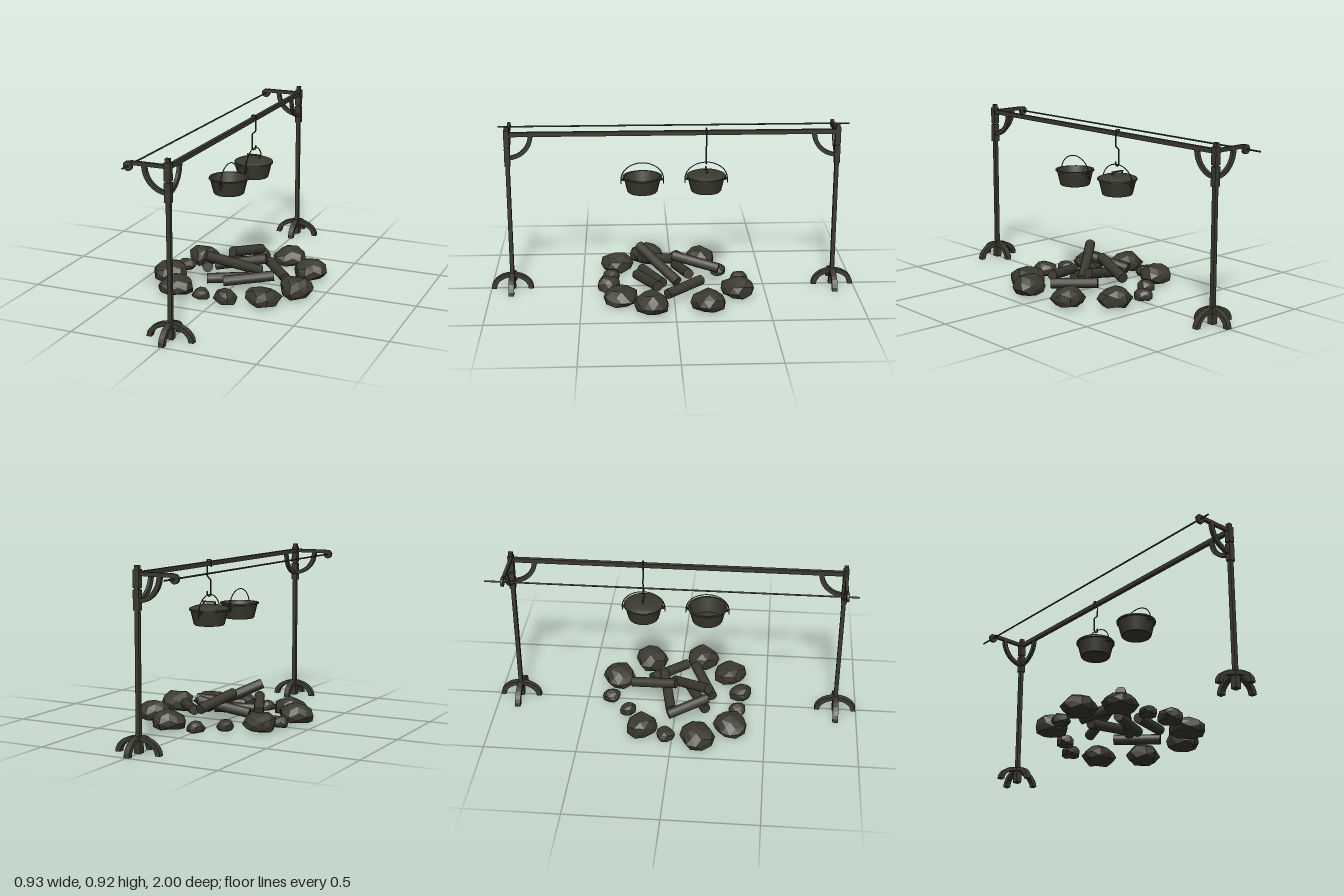
import * as THREE from 'three';

const iron = new THREE.MeshStandardMaterial({ color: 0x3b3a30 });
iron.name = 'dark iron';

const V = (x, y, z) => new THREE.Vector3(x, y, z);

function add(parent, name, geometry, x = 0, y = 0, z = 0) {
  const mesh = new THREE.Mesh(geometry, iron);
  mesh.name = name;
  mesh.position.set(x, y, z);
  parent.add(mesh);
  return mesh;
}

const box = (w, h, d) => new THREE.BoxGeometry(w, h, d);

// Flat curved bar: elliptical ring sector extruded around z = 0
function arcBar(rx, ry, thick, a0, a1, depth) {
  const shape = new THREE.Shape();
  shape.absellipse(0, 0, rx, ry, a0, a1, false, 0);
  shape.absellipse(0, 0, rx - thick, ry - thick * 0.85, a1, a0, true, 0);
  const geo = new THREE.ExtrudeGeometry(shape, { depth, bevelEnabled: false, curveSegments: 7 });
  return geo.translate(0, 0, -depth / 2);
}

// Straight round bar between two points
function rod(parent, name, a, b, r, sides = 12) {
  const mesh = add(parent, name, new THREE.CylinderGeometry(r, r, a.distanceTo(b), sides));
  mesh.position.copy(a).lerp(b, 0.5);
  mesh.quaternion.setFromUnitVectors(V(0, 1, 0), b.clone().sub(a).normalize());
  return mesh;
}

function tube(parent, name, points, r) {
  const path = new THREE.CurvePath();
  for (let i = 1; i < points.length; i++) path.add(new THREE.LineCurve3(points[i - 1], points[i]));
  return add(parent, name, new THREE.TubeGeometry(path, points.length * 6, r, 6));
}

// Post with four curved feet, spit bracket and braces
function makeStand(s) {
  const stand = new THREE.Group();
  stand.name = s > 0 ? 'frontStand' : 'backStand';
  stand.position.z = s * 0.885;
  add(stand, 'post', box(0.022, 0.92, 0.022), 0, 0.46, 0);
  add(stand, 'footHub', box(0.034, 0.088, 0.034), 0, 0.045, 0);
  for (const turn of [0, Math.PI / 2]) {
    const feet = arcBar(turn ? 0.115 : 0.128, 0.09, 0.027, 0, Math.PI, 0.03);
    add(stand, 'feet', feet).rotation.y = turn;
  }
  add(stand, 'spitArm', box(0.2, 0.02, 0.016), -0.1, 0.879, 0);
  for (const turn of [0, -s * Math.PI / 2]) {
    const brace = arcBar(0.138, 0.135, 0.025, Math.PI, Math.PI * 1.5, 0.018);
    add(stand, 'brace', brace, 0, 0.872, 0).rotation.y = turn;
  }
  add(stand, 'upperCollar', box(0.034, 0.09, 0.03), 0, 0.855, 0);
  add(stand, 'lowerCollar', box(0.034, 0.1, 0.03), 0, 0.752, 0);
  const hub = add(stand, 'spitRing', new THREE.CylinderGeometry(0.025, 0.025, 0.014, 14), -0.211, 0.863, s * 0.004);
  hub.rotation.x = Math.PI / 2;
  return stand;
}

// Cauldron with inside wall, ears and wire bail
function makePot(z, lidded) {
  const pot = new THREE.Group();
  pot.name = lidded ? 'liddedPot' : 'openPot';
  pot.position.set(0, 0.55, z);
  const profile = [[0, 0], [0.078, 0], [0.082, 0.004], [0.1, 0.078], [0.107, 0.08], [0.107, 0.088],
    [0.096, 0.088], [0.074, 0.008], [0, 0.008]].map(p => new THREE.Vector2(...p));
  // Repeated faces keep the wall edges crisp
  for (let i = 1; i < profile.length; i++) {
    add(pot, 'potWall', new THREE.LatheGeometry([profile[i - 1], profile[i]], 24));
  }
  const bail = [];
  for (let i = 0; i <= 16; i++) {
    const a = Math.PI * i / 16;
    bail.push(V(0, 0.07 + 0.092 * Math.sin(a), 0.115 * Math.cos(a)));
  }
  bail.unshift(V(0, 0.045, 0.115));
  bail.push(V(0, 0.045, -0.115));
  tube(pot, 'bail', bail, 0.0028);
  for (const s of [-1, 1]) add(pot, 'ear', box(0.014, 0.01, 0.024), 0, 0.068, s * 0.106);
  if (lidded) {
    const lid = [[0.107, 0.086], [0.104, 0.092], [0.08, 0.102], [0.045, 0.109], [0, 0.111]];
    add(pot, 'lid', new THREE.LatheGeometry(lid.map(p => new THREE.Vector2(...p)), 24));
    for (const s of [-1, 1]) add(pot, 'lidHandlePost', box(0.007, 0.025, 0.008), s * 0.035, 0.115, 0);
    add(pot, 'lidHandle', box(0.077, 0.007, 0.008), 0, 0.124, 0);
  }
  return pot;
}

// Rounded boulder with a flattened base
function makeStone(parent, x, z, rx, rz, h, seed) {
  const geo = new THREE.IcosahedronGeometry(1, 1);
  const pos = geo.attributes.position;
  const p = V(0, 0, 0);
  for (let i = 0; i < pos.count; i++) {
    p.fromBufferAttribute(pos, i);
    const n = Math.sin(Math.round(p.x * 50) * 1.7 + Math.round(p.y * 50) * 2.3 + Math.round(p.z * 50) * 3.1 + seed * 5.3);
    p.multiplyScalar(1 + 0.1 * n);
    const y = Math.max(p.y, -0.55);
    pos.setXYZ(i, p.x * rx, 0.008 + (y + 0.55) * h / 1.55, p.z * rz);
  }
  geo.computeVertexNormals();
  add(parent, 'stone', geo, x, 0, z);
}

export function createModel() {
  const model = new THREE.Group();
  model.name = 'campfireCookingRack';
  model.add(makeStand(1), makeStand(-1));

  // Beam and spit
  add(model, 'beam', box(0.02, 0.024, 1.77), 0, 0.877, 0);
  rod(model, 'spit', V(-0.211, 0.863, -0.985), V(-0.211, 0.863, 0.95), 0.0045, 8);

  // Pots and the hook
  model.add(makePot(0.165, false), makePot(-0.18, true));
  const hookZ = -0.18;
  tube(model, 'potHook', [[-0.013, 0.86], [-0.013, 0.897], [0.012, 0.897], [0.012, 0.81], [-0.01, 0.79],
    [-0.01, 0.71], [0, 0.702], [0.012, 0.71], [0.012, 0.73]].map(p => V(p[0], p[1], hookZ)), 0.004);

  // Ring of stones: x, z, half width, half depth, height
  const ring = new THREE.Group();
  ring.name = 'stoneRing';
  [
    [0.16, -0.34, 0.092, 0.088, 0.1], [0.345, -0.175, 0.088, 0.09, 0.105],
    [0.37, 0.12, 0.088, 0.09, 0.11], [0.245, 0.285, 0.1, 0.094, 0.085],
    [0.06, 0.355, 0.064, 0.064, 0.075], [-0.085, 0.345, 0.048, 0.048, 0.055],
    [-0.245, 0.315, 0.094, 0.09, 0.092], [-0.365, 0.14, 0.092, 0.092, 0.102],
    [-0.345, -0.035, 0.05, 0.05, 0.06], [-0.3, -0.17, 0.088, 0.085, 0.1],
    [-0.14, -0.26, 0.046, 0.046, 0.06], [-0.02, -0.365, 0.05, 0.05, 0.06],
  ].forEach((s, i) => makeStone(ring, ...s, i + 1));
  model.add(ring);

  // Pile of logs: both end points
  const pile = new THREE.Group();
  pile.name = 'logPile';
  [
    [-0.13, 0.188, 0.185, 0.11, 0.065, -0.02],
    [-0.05, 0.158, 0.0, 0.02, 0.105, -0.25],
    [0.12, 0.115, -0.08, -0.16, 0.06, -0.02],
    [0.11, 0.075, -0.15, 0.28, 0.065, 0.04],
    [-0.22, 0.07, -0.03, -0.12, 0.12, 0.18],
    [-0.02, 0.06, 0.2, 0.23, 0.09, 0.09],
    [-0.13, 0.05, 0.17, 0.1, 0.055, 0.06],
  ].forEach(l => rod(pile, 'log', V(l[0], l[1], l[2]), V(l[3], l[4], l[5]), 0.028, 12));
  model.add(pile);
  return model;
}
